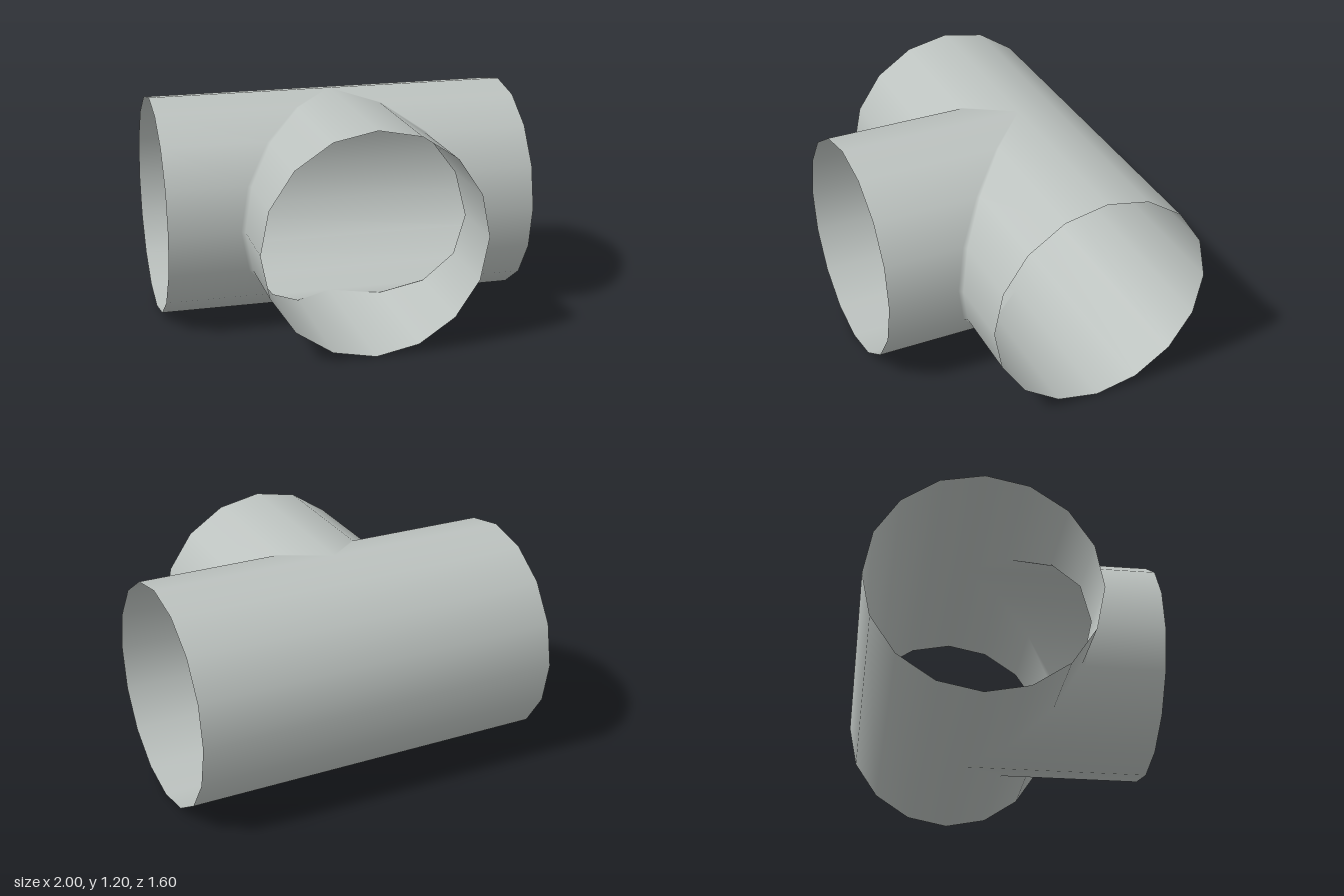
import * as THREE from 'three';

const R = 0.6, SIDES = 16, CY = 0.6, CZ = -0.2, FRONT = 0.8, HALF = 1, FILLET = 0.02;

// Strip between two edges; each edge point is { p: position, n: normal }
function strip(edgeA, edgeB) {
  const pos = [], nor = [], idx = [];
  edgeA.forEach((a, i) => {
    pos.push(...a.p, ...edgeB[i].p);
    nor.push(...a.n, ...edgeB[i].n);
  });
  const v = (i) => new THREE.Vector3().fromArray(pos, i * 3);
  const addTriangle = (a, b, c) => {
    const face = v(b).sub(v(a)).cross(v(c).sub(v(a)));
    if (face.length() < 1e-9) return;
    // wind each face to agree with its outward normals
    const out = new THREE.Vector3();
    for (const k of [a, b, c]) out.add(new THREE.Vector3().fromArray(nor, k * 3));
    if (face.dot(out) > 0) idx.push(a, b, c); else idx.push(a, c, b);
  };
  for (let i = 0; i < edgeA.length - 1; i++) {
    const k = i * 2;
    addTriangle(k, k + 1, k + 2);
    addTriangle(k + 1, k + 3, k + 2);
  }
  const g = new THREE.BufferGeometry();
  g.setAttribute('position', new THREE.Float32BufferAttribute(pos, 3));
  g.setAttribute('normal', new THREE.Float32BufferAttribute(nor, 3));
  g.setIndex(idx);
  return g;
}

export function createModel() {
  const group = new THREE.Group();
  group.name = 'teePipe';
  const pipeGrey = new THREE.MeshStandardMaterial({ color: 0xbcc2bf, side: THREE.DoubleSide });
  pipeGrey.name = 'pipeGrey';
  const add = (name, a, b) => {
    const mesh = new THREE.Mesh(strip(a, b), pipeGrey);
    mesh.name = name;
    group.add(mesh);
  };

  // Half-circle of angles, -90 to 90 degrees
  const angles = Array.from({ length: SIDES / 2 + 1 }, (_, i) => -Math.PI / 2 + (i * 2 * Math.PI) / SIDES);

  // Unbroken rear half of the through pipe
  const rear = (x) => angles.map((a) => {
    const c = Math.cos(a), s = Math.sin(a);
    return { p: [x, CY + R * s, CZ - R * c], n: [0, s, -c] };
  });
  add('throughPipeRear', rear(-HALF), rear(HALF));

  // Mitred front of the pipe, mitred branch and small joint bevel, mirrored
  for (const side of [1, -1]) {
    const pipeEnd = [], pipeSeam = [], branchSeam = [], branchEnd = [];
    for (const a of angles) {
      const c = Math.cos(a), s = Math.sin(a), d = R * c, f = FILLET * c, y = CY + R * s;
      const pipeNormal = [0, s, c], branchNormal = [side * c, s, 0];
      pipeEnd.push({ p: [side * HALF, y, CZ + d], n: pipeNormal });
      pipeSeam.push({ p: [side * (d + f), y, CZ + d], n: pipeNormal });
      branchSeam.push({ p: [side * d, y, CZ + d + f], n: branchNormal });
      branchEnd.push({ p: [side * d, y, FRONT], n: branchNormal });
    }
    const label = side > 0 ? 'Left' : 'Right';
    add('throughPipeFront' + label, pipeEnd, pipeSeam);
    add('jointBevel' + label, pipeSeam, branchSeam);
    add('branchPipe' + label, branchSeam, branchEnd);
  }
  return group;
}
